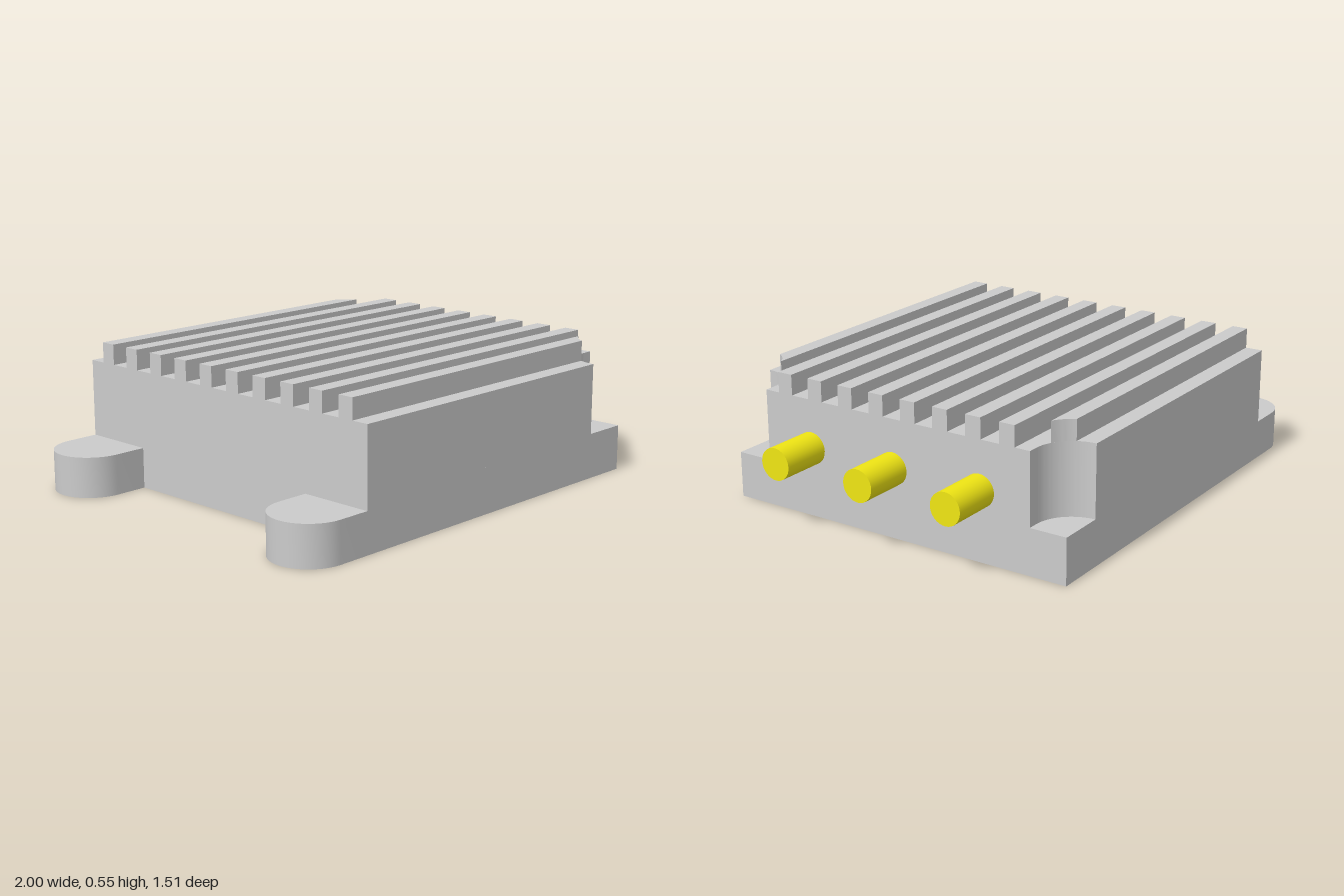
import * as THREE from 'three';
import { toCreasedNormals } from 'three/addons/utils/BufferGeometryUtils.js';

const X0 = -0.717, X1 = 0.793, Z = 0.753;   // body footprint
const NOTCH_R = 0.152, NOTCH_X = 0.753;     // corner screw notches
const FLOOR = 0.185, DECK = 0.472, TOP = 0.554;

const grey = new THREE.MeshStandardMaterial({ color: 0xcccccc });
const yellow = new THREE.MeshStandardMaterial({ color: 0xf0e614 });

// Extrude a plan outline (x, z) between two heights
function slab(name, shape, bottom, top) {
  const g = new THREE.ExtrudeGeometry(shape, { depth: top - bottom, bevelEnabled: false, curveSegments: 16 });
  g.rotateX(Math.PI / 2).translate(0, top, 0);
  const mesh = new THREE.Mesh(toCreasedNormals(g, 0.5), grey);
  mesh.name = name;
  return mesh;
}

// Where the body ends in x at a given z, following the notch curve
function endX(z) {
  const d = Z - Math.abs(z);
  return d >= NOTCH_R ? X1 : NOTCH_X - Math.sqrt(NOTCH_R ** 2 - d ** 2);
}

export function createModel() {
  const model = new THREE.Group();

  // Solid base below the notches
  const base = new THREE.Shape();
  base.moveTo(X0, -Z).lineTo(X1, -Z).lineTo(X1, Z).lineTo(X0, Z).closePath();
  model.add(slab('base', base, 0, FLOOR));

  // Housing with two rounded corner notches
  const housing = new THREE.Shape();
  housing.moveTo(X0, -Z).lineTo(NOTCH_X - NOTCH_R, -Z);
  housing.absarc(NOTCH_X, -Z, NOTCH_R, Math.PI, Math.PI / 2, true);
  housing.lineTo(X1, -Z + NOTCH_R).lineTo(X1, Z - NOTCH_R).lineTo(NOTCH_X, Z - NOTCH_R);
  housing.absarc(NOTCH_X, Z, NOTCH_R, -Math.PI / 2, -Math.PI, true);
  housing.lineTo(X0, Z).closePath();
  model.add(slab('housing', housing, FLOOR, DECK));

  // Ten cooling fins, the outer ones cut by the notches
  const fins = new THREE.Group();
  fins.name = 'coolingFins';
  for (let i = 0; i < 10; i++) {
    const z = (i - 4.5) * 0.1443, half = 0.0325;
    const fin = new THREE.Shape();
    fin.moveTo(X0, z - half);
    const steps = Math.abs(z) + half > Z - NOTCH_R ? 8 : 1;
    for (let k = 0; k <= steps; k++) {
      const zk = z - half + (2 * half * k) / steps;
      fin.lineTo(endX(zk), zk);
    }
    fin.lineTo(X0, z + half).closePath();
    fins.add(slab('fin', fin, DECK, TOP));
  }
  model.add(fins);

  // Rounded mounting tabs
  const r = 0.151;
  for (const side of [-1, 1]) {
    const zc = side * (Z - r);
    const tab = new THREE.Shape();
    tab.moveTo(X0, zc - r).lineTo(X0, zc + r).lineTo(-1 + r, zc + r);
    tab.absarc(-1 + r, zc, r, Math.PI / 2, Math.PI * 1.5, false);
    tab.closePath();
    model.add(slab(side > 0 ? 'frontTab' : 'backTab', tab, 0, 0.162));
  }

  // Three cylindrical connectors
  const pin = new THREE.CylinderGeometry(0.064, 0.064, 1 - X1, 32).rotateZ(-Math.PI / 2);
  for (const z of [-0.386, 0, 0.386]) {
    const mesh = new THREE.Mesh(pin, yellow);
    mesh.name = 'connector';
    mesh.position.set((1 + X1) / 2, 0.278, z);
    model.add(mesh);
  }
  return model;
}
